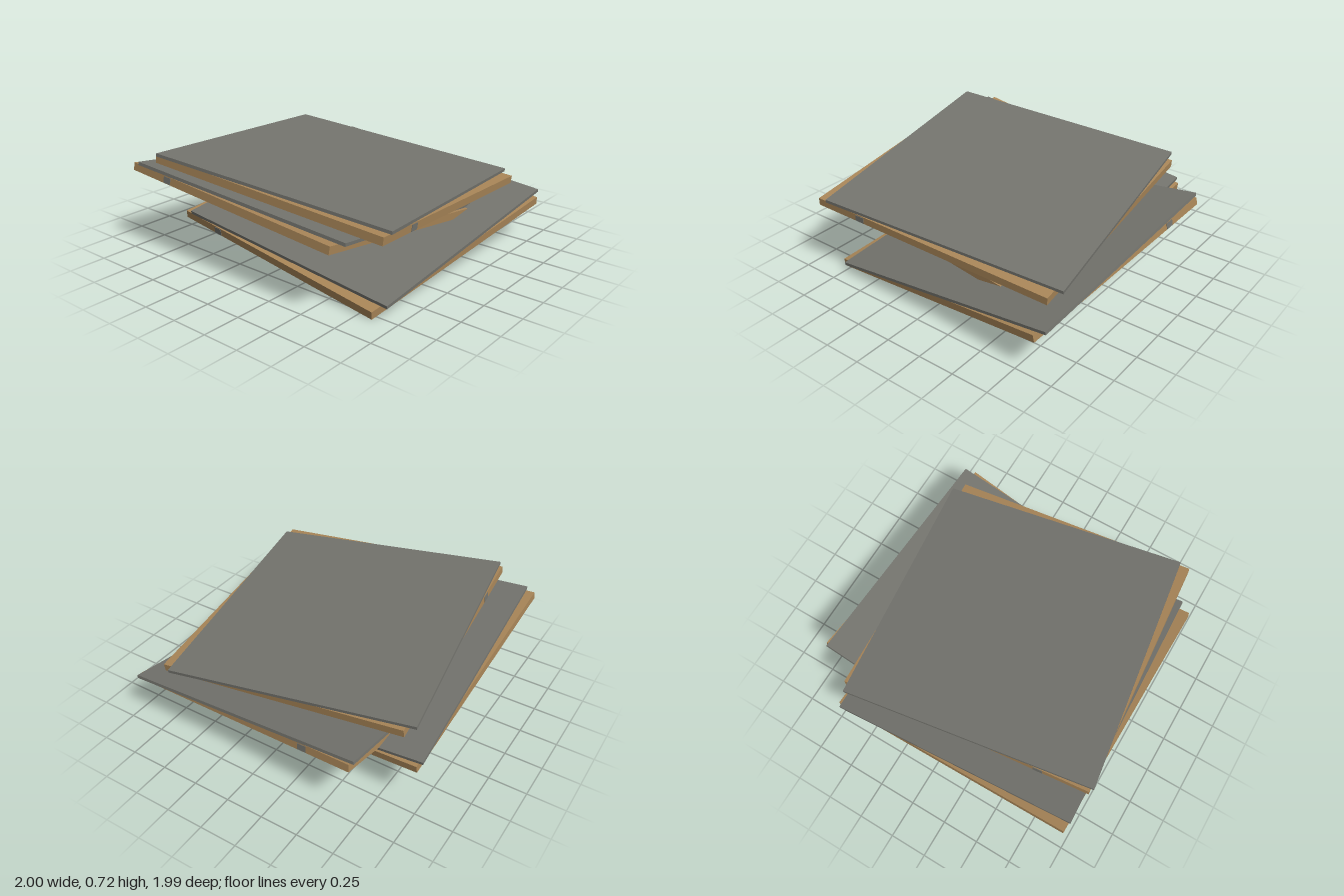
import * as THREE from 'three';

const wood = new THREE.MeshStandardMaterial({ color: 0xa98658 });
wood.name = 'tan wood';
const grey = new THREE.MeshStandardMaterial({ color: 0x74746e });
grey.name = 'warm grey';

const WOOD = { side: 1.69, thick: 0.051 };
const PLATE = { side: 1.68, thick: 0.021 };

// Each tile: slope of its plane (y per x, y per z), the underside centre of the
// wooden base, the top centre of the cover, and the ground direction of one edge.
const tiles = [
  { name: 'bottomTile', slope: [0.1475, -0.082], tabAxis: 'x',
    base: [0.099, 0.1975, 0.08], baseEdge: [1.67, 0.14],
    cover: [0.1175, 0.272, 0.10], coverEdge: [1.662, 0.058] },
  { name: 'middleTile', slope: [-0.147, -0.071], tabAxis: 'x',
    base: [-0.144, 0.36, -0.135], baseEdge: [1.675, 0.008],
    cover: [-0.1125, 0.428, -0.12], coverEdge: [1.66, -0.08] },
  { name: 'topTile', slope: [-0.0905, -0.082], tabAxis: 'z',
    base: [-0.08, 0.505, 0.0425], baseEdge: [1.68, -0.15],
    cover: [-0.059, 0.577, 0.0185], coverEdge: [1.657, -0.238] },
];

// Group lying in the sloped plane with its x axis along the given edge
function tiltedGroup(name, slope, point, edge) {
  const x = new THREE.Vector3(edge[0], slope[0] * edge[0] + slope[1] * edge[1], edge[1]).normalize();
  const y = new THREE.Vector3(-slope[0], 1, -slope[1]).normalize();
  const z = new THREE.Vector3().crossVectors(x, y);
  const group = new THREE.Group();
  group.name = name;
  group.quaternion.setFromRotationMatrix(new THREE.Matrix4().makeBasis(x, y, z));
  group.position.fromArray(point);
  return group;
}

function box(name, w, h, d, material, x, y, z) {
  const mesh = new THREE.Mesh(new THREE.BoxGeometry(w, h, d), material);
  mesh.name = name;
  mesh.position.set(x, y, z);
  return mesh;
}

export function createModel() {
  const model = new THREE.Group();
  model.name = 'tileStack';
  for (const t of tiles) {
    const tile = new THREE.Group();
    tile.name = t.name;

    // Wooden base with a small grey tab on two opposite edges
    const base = tiltedGroup('base', t.slope, t.base, t.baseEdge);
    base.add(box('woodenBase', WOOD.side, WOOD.thick, WOOD.side, wood, 0, WOOD.thick / 2, 0));
    for (const s of [-1, 1]) {
      const out = s * WOOD.side / 2;
      base.add(t.tabAxis === 'x'
        ? box('edgeTab', 0.006, 0.042, 0.062, grey, out, 0.024, -0.51)
        : box('edgeTab', 0.062, 0.042, 0.006, grey, -0.51, 0.024, out));
    }

    // Thin grey cover, turned slightly on its base
    const cover = tiltedGroup('cover', t.slope, t.cover, t.coverEdge);
    cover.add(box('coverPlate', PLATE.side, PLATE.thick, PLATE.side, grey, 0, -PLATE.thick / 2, 0));

    tile.add(base, cover);
    model.add(tile);
  }
  return model;
}
